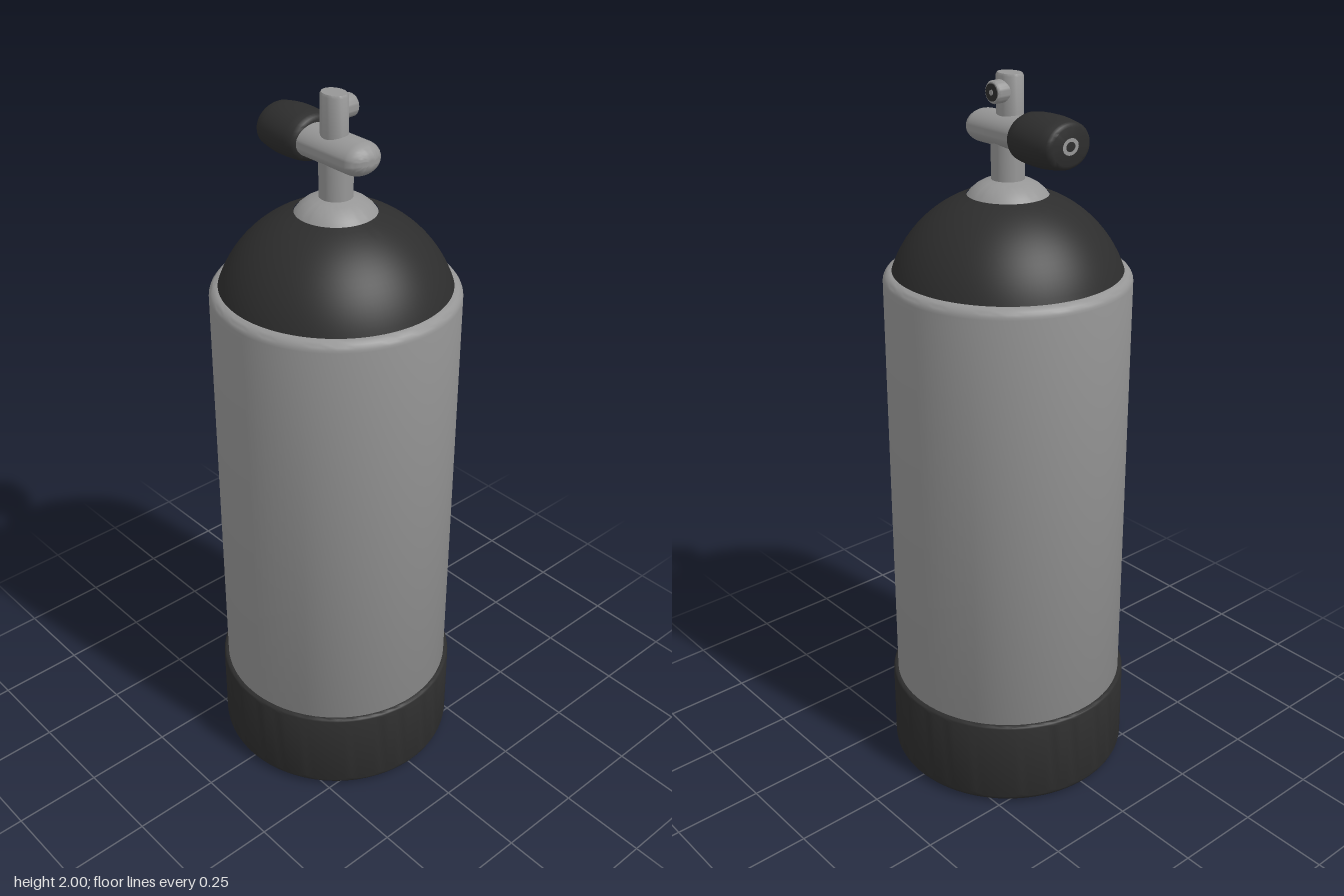
import * as THREE from 'three';
import { toCreasedNormals } from 'three/addons/utils/BufferGeometryUtils.js';

const metal = new THREE.MeshStandardMaterial({ color: 0x969696 });
metal.name = 'grey metal';
const rubber = new THREE.MeshStandardMaterial({ color: 0x2d2d2d });
rubber.name = 'black rubber';

// Turned part around y; the profile runs from bottom to top as [radius, height]
function turned(profile, segments = 64) {
  const points = profile.map(([r, y]) => new THREE.Vector2(r, y));
  return toCreasedNormals(new THREE.LatheGeometry(points, segments), 0.7);
}

// Profile points on an arc, angles in degrees from the horizontal
function arc(cx, cy, r, from, to, steps) {
  return Array.from({ length: steps + 1 }, (_, i) => {
    const a = THREE.MathUtils.degToRad(from + (to - from) * i / steps);
    return [cx + r * Math.cos(a), cy + r * Math.sin(a)];
  });
}

export function createModel() {
  const model = new THREE.Group();
  model.name = 'divingTank';
  const add = (name, geometry, material, parent = model) => {
    const mesh = new THREE.Mesh(geometry, material);
    mesh.name = name;
    parent.add(mesh);
    return mesh;
  };

  // Cylinder body with a rounded shoulder
  add('tankBody', turned([
    [0, 0.002], [0.308, 0.002], [0.33, 0.03], ...arc(0.302, 1.468, 0.028, 0, 85, 6), [0.29, 1.495],
  ], 96), metal);

  // Rubber boot around the foot
  add('boot', turned([
    [0.307, 0], ...arc(0.313, 0.03, 0.03, -80, 0, 5), ...arc(0.331, 0.253, 0.012, 0, 90, 4), [0.325, 0.265],
  ], 96), rubber);

  // Black dome and the metal collar at its top
  add('dome', turned(arc(0, 1.389, 0.324, 18, 70.7, 14), 96), rubber);
  add('collar', turned([
    [0.107, 1.692], [0.098, 1.704], [0.083, 1.717], [0.064, 1.728], [0.04, 1.735],
  ]), metal);

  // Valve stem and the flattened post above it
  const valve = new THREE.Group();
  valve.name = 'valve';
  model.add(valve);
  add('stem', turned([[0.044, 1.72], [0.044, 1.87], [0, 1.87]], 32), metal, valve);
  const post = add('post', turned([[0.04, 1.85], [0.04, 1.994], [0.036, 2], [0, 2]], 32), metal, valve);
  post.scale.z = 0.78;
  post.position.z = 0.006;

  // Outlet on the back of the post, with a sealing ring
  const outlet = new THREE.Group();
  outlet.name = 'outlet';
  outlet.position.set(0, 1.957, 0);
  outlet.rotation.x = -Math.PI / 2;
  valve.add(outlet);
  add('outletTube', turned([[0.029, 0], [0.029, 0.048], [0.025, 0.053], [0, 0.053]], 32), metal, outlet);
  const seal = add('outletSeal', new THREE.CylinderGeometry(0.022, 0.022, 0.003, 32), rubber, outlet);
  seal.position.y = 0.053;
  const port = add('outletPort', new THREE.CylinderGeometry(0.007, 0.007, 0.003, 16), metal, outlet);
  port.position.y = 0.0545;

  // Crossbar with a rounded end
  const crossbar = turned([[0, -0.1], [0.058, -0.1], ...arc(0, 0, 1, 0, 90, 10)
    .map(([r, y]) => [Math.max(0, r * 0.058), 0.082 + y * 0.048])], 40);
  crossbar.rotateZ(-Math.PI / 2);
  const bar = add('crossbar', crossbar, metal, valve);
  bar.scale.y = 0.74;
  bar.position.y = 1.857;

  // Hand wheel on the right end of the bar
  const wheel = new THREE.Group();
  wheel.name = 'handWheel';
  wheel.position.set(0, 1.858, -0.008);
  wheel.scale.y = 0.81;
  valve.add(wheel);
  const grip = turned([
    [0, -0.238], [0.058, -0.238], [0.067, -0.235], [0.072, -0.228], [0.077, -0.205], [0.081, -0.175],
    [0.081, -0.145], [0.079, -0.115], [0.075, -0.094], [0.068, -0.084], [0.058, -0.081], [0, -0.081],
  ], 40);
  grip.rotateZ(-Math.PI / 2);
  add('grip', grip, rubber, wheel);
  const cap = new THREE.RingGeometry(0.015, 0.026, 32);
  cap.rotateY(-Math.PI / 2);
  add('gripRing', cap, metal, wheel).position.x = -0.2395;

  return model;
}
